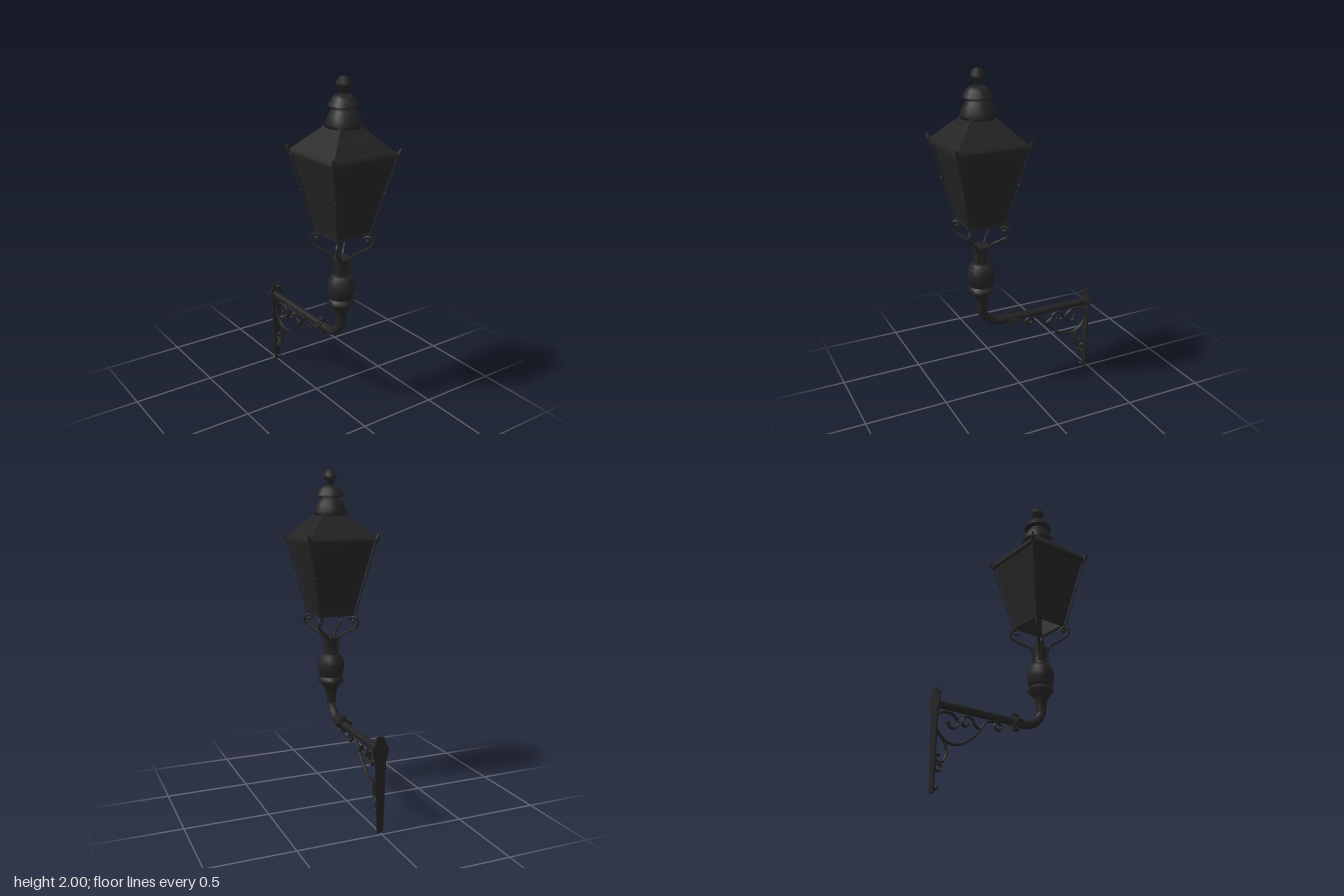
import * as THREE from 'three';

const iron = new THREE.MeshStandardMaterial({ color: 0x232323, side: THREE.DoubleSide });
iron.name = 'black iron';
const AXIS_Z = 0.25; // vertical axis of the lantern
const V = (x, y, z) => new THREE.Vector3(x, y, z);

export function createModel() {
  const model = new THREE.Group();
  model.name = 'wallLantern';
  const lantern = new THREE.Group();
  lantern.name = 'lantern';
  lantern.position.z = AXIS_Z;
  const bracket = new THREE.Group();
  bracket.name = 'wallBracket';
  model.add(lantern, bracket);

  const add = (parent, name, geometry) => {
    const mesh = new THREE.Mesh(geometry, iron);
    mesh.name = name;
    parent.add(mesh);
    return mesh;
  };
  // Round turned part from [radius, y] pairs
  const turned = (name, profile, sides = 12) =>
    add(lantern, name, new THREE.LatheGeometry(profile.map(p => new THREE.Vector2(...p)), sides));
  // Square part from [half width, y] pairs
  const square = (name, profile) => {
    const g = new THREE.LatheGeometry(profile.map(([w, y]) => new THREE.Vector2(w * Math.SQRT2, y)), 4)
      .rotateY(Math.PI / 4).toNonIndexed();
    g.computeVertexNormals();
    return add(lantern, name, g);
  };
  // Straight rod between two points
  const rod = (parent, name, a, b, r0, r1 = r0, sides = 6) => {
    const mesh = add(parent, name, new THREE.CylinderGeometry(r1, r0, a.distanceTo(b), sides));
    mesh.position.copy(a).lerp(b, 0.5);
    mesh.quaternion.setFromUnitVectors(V(0, 1, 0), b.clone().sub(a).normalize());
    return mesh;
  };
  const ball = (parent, name, p, r) => {
    const mesh = add(parent, name, new THREE.SphereGeometry(r, 8, 6));
    mesh.position.copy(p);
    return mesh;
  };
  const tube = (parent, name, points, r, steps, sides = 6) =>
    add(parent, name, new THREE.TubeGeometry(new THREE.CatmullRomCurve3(points), steps, r, sides));

  // Finial and the two domed vents
  turned('finial', [[0, 2], [0.026, 1.99], [0.043, 1.965], [0.04, 1.945], [0.02, 1.922], [0.018, 1.9]].reverse(), 8);
  turned('upperDome', [[0.05, 1.835], [0.088, 1.835], [0.085, 1.848], [0.062, 1.885], [0.045, 1.9], [0, 1.908]]);
  turned('ventNeck', [[0.06, 1.8], [0.05, 1.84]]);
  turned('lowerDome', [[0.07, 1.727], [0.1, 1.73], [0.097, 1.755], [0.084, 1.79], [0.068, 1.818], [0.05, 1.83]]);

  // Swept square roof with eave rim
  square('roof', [[0.212, 1.588], [0.203, 1.603], [0.185, 1.62], [0.148, 1.66], [0.112, 1.695], [0.085, 1.722], [0.07, 1.74]]);
  square('panels', [[0.104, 1.13], [0.196, 1.575]]);

  // Square frames at the eave and the base
  const frame = (name, half, y, w, h) => {
    for (let i = 0; i < 4; i++) {
      const g = new THREE.BoxGeometry(half * 2, h, w).translate(0, y, half - w / 2).rotateY(i * Math.PI / 2);
      add(lantern, name, g);
    }
  };
  frame('eaveFrame', 0.213, 1.579, 0.026, 0.018);
  frame('baseFrame', 0.112, 1.133, 0.016, 0.01);

  // Corner bars, horns and scrolled arms on each diagonal
  const armPath = [[0.03, 0.89], [0.032, 0.965], [0.045, 0.995], [0.085, 1.03], [0.119, 1.06], [0.127, 1.088],
    [0.118, 1.112], [0.1, 1.116], [0.09, 1.103], [0.095, 1.09], [0.105, 1.093]];
  for (const sx of [-1, 1]) for (const sz of [-1, 1]) {
    const at = (d, y) => V(sx * d, y, sz * d);
    rod(lantern, 'cornerBar', at(0.112, 1.125), at(0.21, 1.585), 0.005);
    ball(lantern, 'barKnob', at(0.164, 1.37), 0.009);
    rod(lantern, 'cornerHorn', at(0.204, 1.565), at(0.214, 1.6), 0.012, 0.014);
    rod(lantern, 'hornTip', at(0.213, 1.596), at(0.221, 1.625), 0.013, 0.005);
    tube(lantern, 'scrollArm', armPath.map(p => at(...p)), 0.0085, 36);
    ball(lantern, 'armCurlEnd', at(0.104, 1.092), 0.012);
  }

  // Neck, urn and collar below the arms
  turned('neck', [[0.045, 0.865], [0.04, 0.89], [0.038, 0.94], [0.047, 0.975], [0.047, 0.99], [0, 0.99]], 10);
  turned('urn', [[0.05, 0.735], [0.07, 0.738], [0.08, 0.785], [0.082, 0.815], [0.074, 0.85], [0.056, 0.875], [0.04, 0.877]], 10);
  turned('collar', [[0.026, 0.55], [0.031, 0.6], [0.036, 0.645], [0.05, 0.675], [0.081, 0.705], [0.07, 0.725],
    [0.055, 0.738]], 10);

  // Bent pipe back to the wall
  tube(bracket, 'elbow', [V(0, 0.62, 0.25), V(0, 0.565, 0.248), V(0, 0.518, 0.218), V(0, 0.486, 0.17),
    V(0, 0.478, 0.12), V(0, 0.478, 0.05)], 0.026, 18, 10);
  rod(bracket, 'arm', V(0, 0.478, 0.06), V(0, 0.478, -0.47), 0.022, 0.022, 10);

  // Bolted pipe joint
  for (const z of [0.045, 0.072])
    rod(bracket, 'jointFlange', V(0, 0.478, z - 0.007), V(0, 0.478, z + 0.007), 0.034, 0.034, 10);
  for (let i = 0; i < 4; i++) {
    const a = i * Math.PI / 2;
    const p = z => V(Math.sin(a) * 0.041, 0.478 + Math.cos(a) * 0.041, z);
    rod(bracket, 'jointBolt', p(0.038), p(0.08), 0.013);
  }

  // Tapered wall plate with bolts
  const outline = [[0.018, 0], [0.033, 0.42], [0.048, 0.465], [0.048, 0.495], [0.03, 0.525], [0.02, 0.56]];
  const plateShape = new THREE.Shape([...outline, ...outline.map(([x, y]) => [-x, y]).reverse()]
    .map(p => new THREE.Vector2(...p)));
  add(bracket, 'wallPlate', new THREE.ExtrudeGeometry(plateShape, { depth: 0.009, bevelEnabled: false }))
    .position.z = -0.478;
  rod(bracket, 'armFlange', V(0, 0.478, -0.472), V(0, 0.478, -0.458), 0.03, 0.028, 10);
  for (const y of [0.03, 0.547]) {
    rod(bracket, 'wallBolt', V(0, y, -0.472), V(0, y, -0.45), 0.009);
    ball(bracket, 'boltHead', V(0, y, -0.447), 0.013);
  }

  // Wrought scrolls under the arm, as [z, y] paths
  const scrolls = [
    [[-0.062, 0.42], [-0.07, 0.41], [-0.085, 0.423], [-0.08, 0.444], [-0.06, 0.45], [-0.045, 0.435], [-0.045, 0.418],
      [-0.06, 0.406]],
    [[-0.07, 0.448], [-0.11, 0.449], [-0.14, 0.438], [-0.185, 0.385], [-0.24, 0.325], [-0.3, 0.285], [-0.37, 0.275],
      [-0.435, 0.31], [-0.465, 0.365], [-0.455, 0.415], [-0.41, 0.442], [-0.355, 0.435], [-0.327, 0.4],
      [-0.34, 0.367], [-0.375, 0.363], [-0.39, 0.39]],
    [[-0.185, 0.385], [-0.22, 0.41], [-0.235, 0.435], [-0.265, 0.445], [-0.295, 0.425], [-0.295, 0.395],
      [-0.275, 0.387], [-0.265, 0.4]],
    [[-0.445, 0.318], [-0.41, 0.28], [-0.395, 0.23], [-0.405, 0.185], [-0.43, 0.165], [-0.457, 0.175],
      [-0.46, 0.2], [-0.44, 0.205]],
  ];
  for (const path of scrolls) {
    tube(bracket, 'scroll', path.map(([z, y]) => V(0, y, z)), 0.007, path.length * 5).scale.x = 1.7;
    const [z, y] = path[path.length - 1];
    ball(bracket, 'scrollEnd', V(0, y, z), 0.011);
  }
  const ring = add(bracket, 'scrollRing', new THREE.TorusGeometry(0.02, 0.007, 6, 14).rotateY(Math.PI / 2));
  ring.position.set(0, 0.138, -0.443);
  ring.scale.x = 1.7;

  return model;
}
